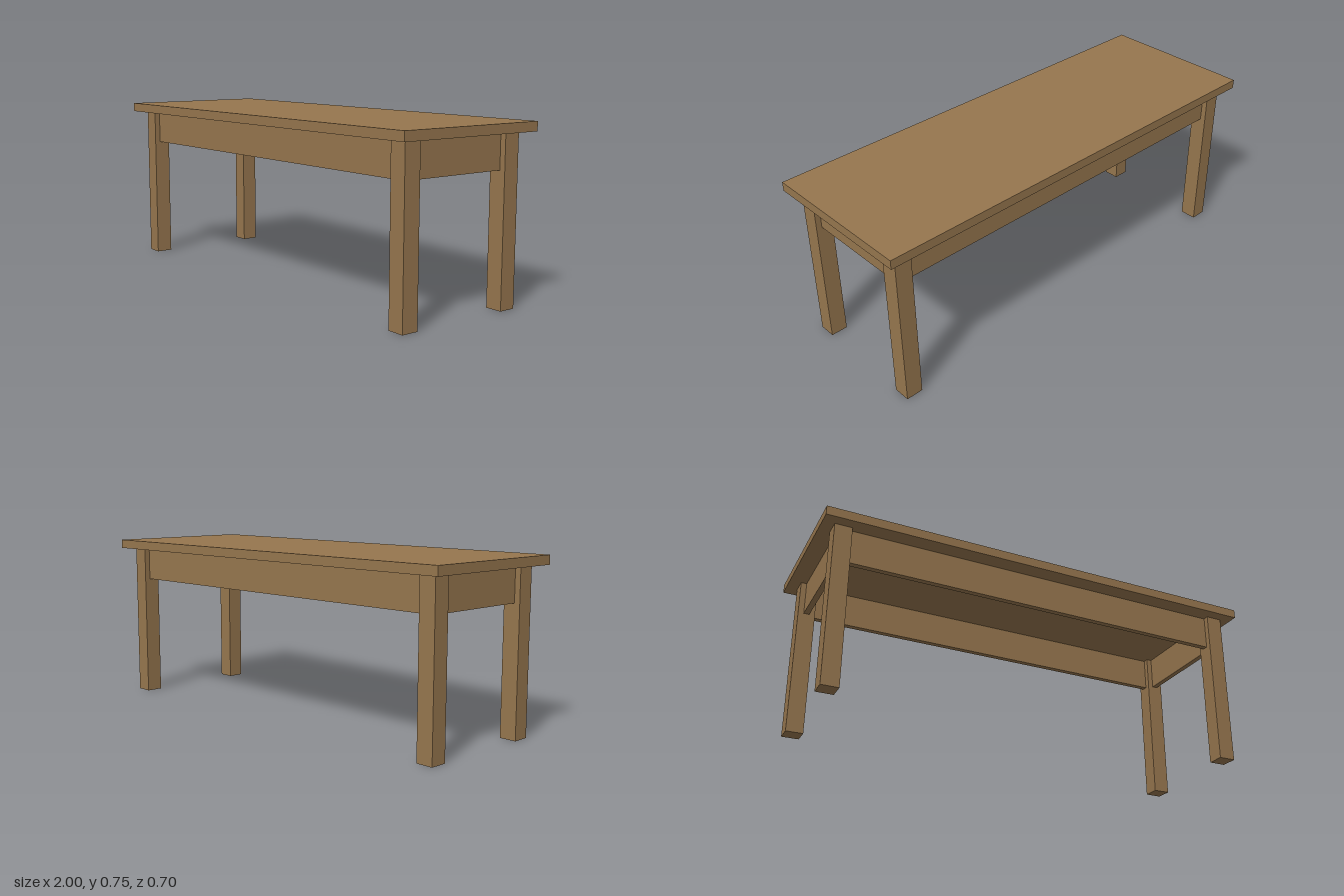
import * as THREE from 'three';

export function createModel() {
  const table = new THREE.Group();
  table.name = 'table';
  const wood = new THREE.MeshStandardMaterial({ color: 0x96764e });
  wood.name = 'wood';

  const addBox = (name, size, position) => {
    const mesh = new THREE.Mesh(new THREE.BoxGeometry(...size), wood);
    mesh.name = name;
    mesh.position.set(...position);
    table.add(mesh);
  };

  const topY = 0.71;          // underside of the tabletop
  const leg = 0.075;          // square leg section
  const legX = 0.9125, legZ = 0.2625;
  const apronH = 0.15, apronT = 0.025;
  const apronY = topY - apronH / 2;

  // Tabletop
  addBox('tabletop', [2, 0.04, 0.7], [0, topY + 0.02, 0]);

  for (const s of [1, -1]) {
    // Aprons run between the legs, centred on their thickness
    addBox(s > 0 ? 'frontApron' : 'backApron',
      [2 * legX - leg, apronH, apronT], [0, apronY, s * legZ]);
    addBox(s > 0 ? 'leftApron' : 'rightApron',
      [apronT, apronH, 2 * legZ - leg], [s * legX, apronY, 0]);

    // Legs
    for (const side of [1, -1]) {
      addBox((s > 0 ? 'front' : 'back') + (side > 0 ? 'Left' : 'Right') + 'Leg',
        [leg, topY, leg], [side * legX, topY / 2, s * legZ]);
    }
  }
  return table;
}
